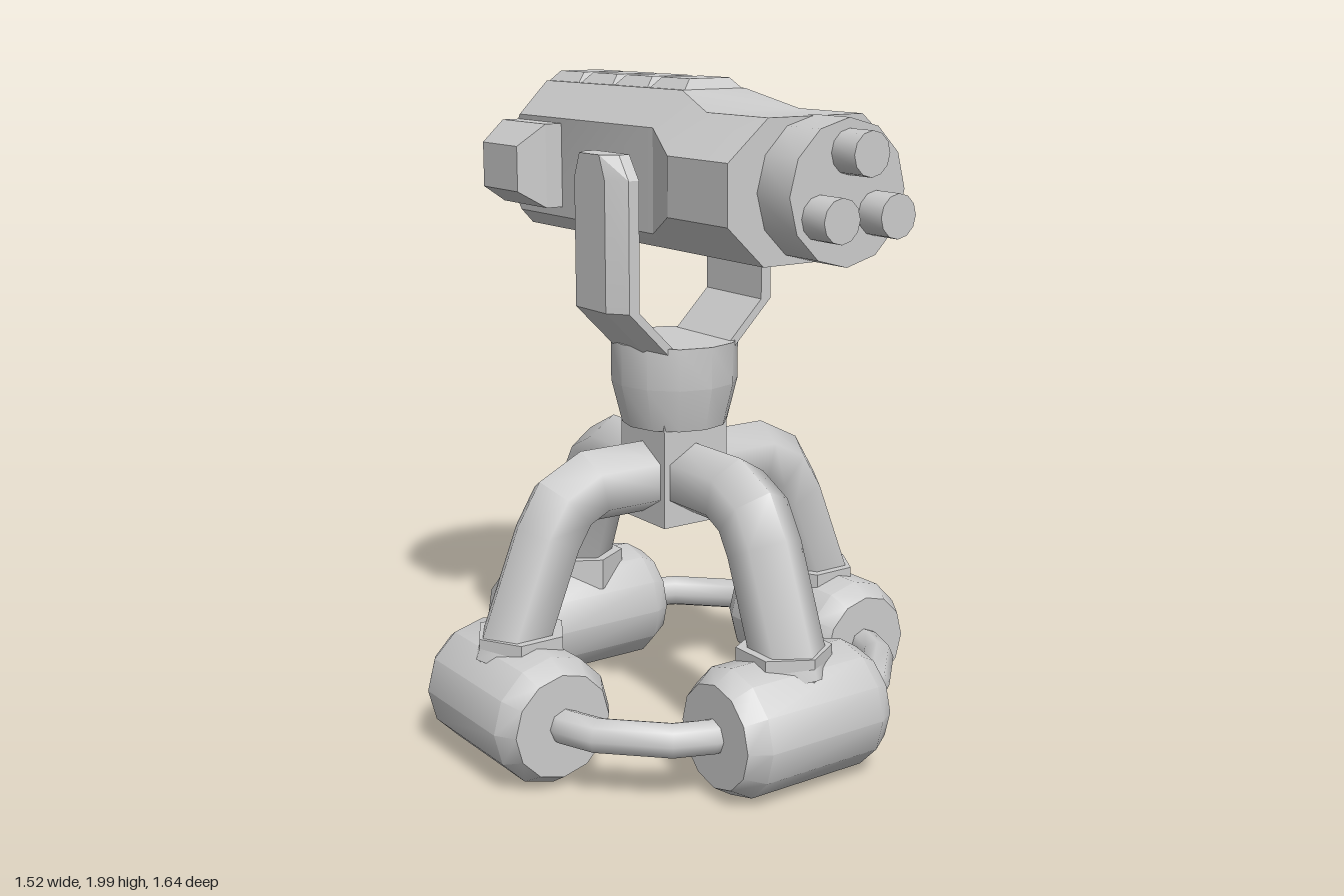
import * as THREE from 'three';
import { toCreasedNormals } from 'three/addons/utils/BufferGeometryUtils.js';

const grey = new THREE.MeshStandardMaterial({ color: 0xcccccc });
const V = (x, y, z) => new THREE.Vector3(x, y, z);

function add(parent, name, geo, x = 0, y = 0, z = 0) {
  const m = new THREE.Mesh(geo, grey);
  m.name = name;
  m.position.set(x, y, z);
  parent.add(m);
  return m;
}

// Skin a list of equal-sized rings, with end caps; winding is fixed by signed volume
function loft(rings, crease = 0.3) {
  const tris = [], n = rings[0].length, last = rings[rings.length - 1];
  for (let r = 0; r < rings.length - 1; r++) {
    for (let i = 0; i < n; i++) {
      const j = (i + 1) % n, a = rings[r], b = rings[r + 1];
      tris.push([a[i], a[j], b[j]], [a[i], b[j], b[i]]);
    }
  }
  for (let i = 1; i < n - 1; i++) {
    tris.push([rings[0][0], rings[0][i + 1], rings[0][i]], [last[0], last[i], last[i + 1]]);
  }
  const o = rings[0][0];
  let vol = 0;
  for (const [a, b, c] of tris) {
    vol += a.clone().sub(o).dot(b.clone().sub(o).cross(c.clone().sub(o)));
  }
  const pts = tris.flatMap(([a, b, c]) => (vol < 0 ? [a, c, b] : [a, b, c]));
  return toCreasedNormals(new THREE.BufferGeometry().setFromPoints(pts), crease);
}

// Mitred pipe along a planar path; `axis` is the normal of that plane
function pipe(path, axis, radius, sides) {
  const rings = path.map((p, i) => {
    const d0 = p.clone().sub(path[Math.max(i - 1, 0)]).normalize();
    const d1 = path[Math.min(i + 1, path.length - 1)].clone().sub(p).normalize();
    const t = d0.clone().add(d1).normalize();
    const miter = 1 / t.dot(i ? d0 : d1);
    const side = axis.clone().cross(t);
    return Array.from({ length: sides }, (_, k) => {
      const a = (k / sides) * Math.PI * 2;
      return p.clone().addScaledVector(side, Math.cos(a) * radius * miter)
        .addScaledVector(axis, Math.sin(a) * radius);
    });
  });
  return loft(rings, 1.1);
}

const lathe = (profile, sides) => toCreasedNormals(
  new THREE.LatheGeometry(profile.map(([r, y]) => new THREE.Vector2(r, y)), sides), 0.56);

// Octagonal section: half widths and heights of the four corner levels
const octagon = (z, [wTop, yTop], [wUp, yUp], [wLow, yLow], [wBot, yBot]) => [
  V(wBot, yBot, z), V(wLow, yLow, z), V(wUp, yUp, z), V(wTop, yTop, z),
  V(-wTop, yTop, z), V(-wUp, yUp, z), V(-wLow, yLow, z), V(-wBot, yBot, z),
];

function createBase() {
  const base = new THREE.Group();
  base.name = 'base';
  base.position.z = -0.06;

  const drumGeo = lathe([[0, -0.26], [0.155, -0.26], [0.192, -0.2], [0.192, 0.2], [0.155, 0.26], [0, 0.26]], 12);
  drumGeo.rotateX(Math.PI / 2);
  const legGeo = pipe([V(0, 0.81, 0), V(0.31, 0.81, 0), V(0.4, 0.765, 0), V(0.455, 0.675, 0),
    V(0.57, 0.385, 0), V(0.6, 0.31, 0)], V(0, 0, 1), 0.11, 6);
  const collarGeo = toCreasedNormals(new THREE.CylinderGeometry(0.14, 0.14, 0.1, 6).rotateY(Math.PI / 2), 0.3);
  const linkGeo = pipe([V(0.56, 0.2, 0.2), V(0.56, 0.2, 0.27), V(0.52, 0.2, 0.37), V(0.37, 0.2, 0.52),
    V(0.27, 0.2, 0.56), V(0.2, 0.2, 0.56)], V(0, 1, 0), 0.052, 8);

  // Four identical feet, each joined to the next
  for (let i = 0; i < 4; i++) {
    const quarter = new THREE.Group();
    quarter.name = 'foot' + (i + 1);
    quarter.rotation.y = (i * Math.PI) / 2;
    add(quarter, 'drum', drumGeo, 0.568, 0.2, 0);
    add(quarter, 'leg', legGeo);
    add(quarter, 'collar', collarGeo, 0.55, 0.36, 0);
    add(quarter, 'link', linkGeo);
    base.add(quarter);
  }
  add(base, 'hub', new THREE.BoxGeometry(0.23, 0.32, 0.23), 0, 0.83, 0);
  add(base, 'swivel', lathe([[0, 0.97], [0.16, 0.97], [0.192, 1.1], [0.192, 1.225], [0, 1.225]], 12), 0, 0, 0.005);
  return base;
}

function createFork() {
  const fork = new THREE.Group();
  fork.name = 'fork';
  for (const s of [1, -1]) {
    // Bevelled upright: height, sideways shift and depth scale per level
    const rings = [[1.2, -0.14, 1], [1.34, 0, 1], [1.72, 0, 1], [1.79, 0, 0.65]].map(([y, dx, k]) =>
      [[0.22, 0.138], [0.255, 0.138], [0.298, 0.08], [0.298, -0.08], [0.255, -0.138], [0.22, -0.138]]
        .map(([x, z]) => V(s * (x + dx), y, z * k - 0.053)));
    add(fork, s > 0 ? 'leftArm' : 'rightArm', loft(rings));
  }
  return fork;
}

function createGun() {
  const gun = new THREE.Group();
  gun.name = 'gun';

  // Faceted housing from front to tail
  const front = [[0.16, 1.92], [0.29, 1.81], [0.29, 1.645], [0.17, 1.532]];
  const mid = [[0.11, 1.97], [0.21, 1.87], [0.21, 1.575], [0.17, 1.532]];
  add(gun, 'housing', loft([
    octagon(0.595, ...front), octagon(0.325, ...front),
    octagon(0.14, ...mid), octagon(-0.59, ...mid),
    octagon(-0.72, [0.1, 1.785], [0.18, 1.76], [0.18, 1.655], [0.15, 1.62]),
  ]));

  // Ridge blocks along the top
  for (let i = 0; i < 4; i++) {
    const z = 0.145 - i * 0.185;
    const rect = (w, y, z0, z1) => [V(-w, y, z0), V(w, y, z0), V(w, y, z1), V(-w, y, z1)];
    add(gun, 'ridge' + (i + 1), loft([rect(0.11, 1.96, z, z - 0.185), rect(0.07, 2, z - 0.025, z - 0.16)]));
  }

  // Barrel block and three muzzles
  const round = (r, len, sides) => toCreasedNormals(new THREE.CylinderGeometry(r, r, len, sides).rotateX(Math.PI / 2), 0.7);
  add(gun, 'barrelBlock', round(0.195, 0.16, 12), 0, 1.728, 0.65);
  for (const [x, y] of [[0, 1.835], [0.095, 1.67], [-0.095, 1.67]]) {
    add(gun, 'muzzle', round(0.06, 0.12, 12), x, y, 0.76);
  }

  // Side pods with tapered outer faces
  for (const s of [1, -1]) {
    const rect = (x, y0, y1, z0, z1) => [V(s * x, y0, z0), V(s * x, y1, z0), V(s * x, y1, z1), V(s * x, y0, z1)];
    add(gun, s > 0 ? 'leftPod' : 'rightPod', loft([
      rect(0.17, 1.605, 1.855, -0.345, -0.6), rect(0.265, 1.605, 1.855, -0.345, -0.6),
      rect(0.342, 1.655, 1.79, -0.385, -0.59),
    ]));
  }

  // Flat hoop wrapping the tail from pod to pod
  const hoop = [];
  for (let i = 0; i <= 8; i++) {
    const a = (i / 8) * Math.PI, c = Math.cos(a), n = Math.sin(a);
    const at = (rx, rz, y) => V(c * rx, y, -0.56 - n * rz);
    hoop.push([at(0.32, 0.24, 1.685), at(0.32, 0.24, 1.768), at(0.27, 0.19, 1.768), at(0.27, 0.19, 1.685)]);
  }
  add(gun, 'tailHoop', loft(hoop, 0.6));
  return gun;
}

export function createModel() {
  const model = new THREE.Group();
  model.name = 'tripodTurret';
  model.add(createBase(), createFork(), createGun());
  return model;
}
